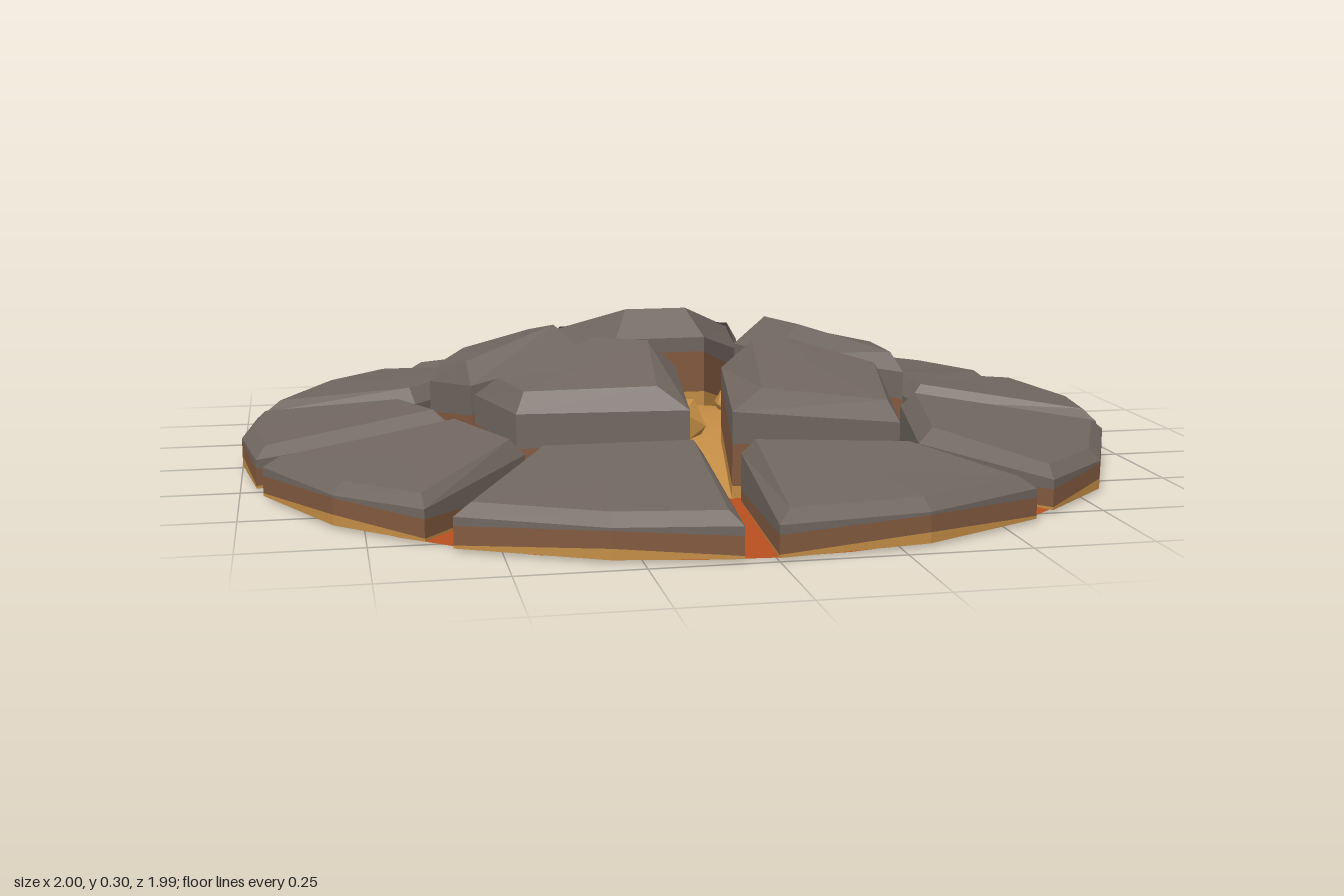
import * as THREE from 'three';

const mat = (name, color, side = THREE.FrontSide) => {
  const m = new THREE.MeshStandardMaterial({ color, side });
  m.name = name;
  return m;
};

// Move every edge of a polygon inward by its own distance and intersect neighbours
function inset(pts, dist) {
  const n = pts.length;
  const lines = pts.map((a, i) => {
    const b = pts[(i + 1) % n];
    const dx = b[0] - a[0], dz = b[1] - a[1], l = Math.hypot(dx, dz);
    const nx = -dz / l, nz = dx / l;
    return [nx, nz, a[0] * nx + a[1] * nz + dist(a, b)];
  });
  return pts.map((_, i) => {
    const [a, b, c] = lines[(i + n - 1) % n], [d, e, f] = lines[i];
    const det = a * e - b * d;
    return [(c * e - b * f) / det, (a * f - c * d) / det];
  });
}

// Bevelled rock slab: heated bands low on the wall, cool rock above
function stone(name, outline, o, materials) {
  let area = 0;
  outline.forEach((a, i) => {
    const b = outline[(i + 1) % outline.length];
    area += a[0] * b[1] - b[0] * a[1];
  });
  const pts = area > 0 ? outline : outline.slice().reverse();
  const n = pts.length;
  const radius = (p) => Math.hypot(p[0], p[1]);
  const near = (p) => radius(p) < o.split;
  const top = inset(pts, (a, b) =>
    radius([(a[0] + b[0]) / 2, (a[1] + b[1]) / 2]) < o.split ? o.bevelIn : o.bevelOut);
  const levels = [[], [], [], [], []];
  pts.forEach((p, i) => {
    const inner = near(p);
    const middle = !inner && !near(pts[(i + 1) % n]) && !near(pts[(i + n - 1) % n]);
    const [base, gold, brown] = inner ? o.inner : middle ? o.middle : o.outer;
    const t = top[i], yTop = o.top(radius(t));
    [base, gold, brown, yTop - (inner ? o.dropIn : o.dropOut)].forEach((y, k) =>
      levels[k].push([p[0], y, p[1]]));
    levels[4].push([t[0], yTop, t[1]]);
  });
  const buckets = [[], [], []]; // gold, brown, rock
  const quad = (k, lo, hi, i) => {
    const j = (i + 1) % n;
    buckets[k].push(...lo[i], ...hi[i], ...lo[j], ...lo[j], ...hi[i], ...hi[j]);
  };
  const fan = (k, ring, up) => {
    const c = [0, 1, 2].map((a) => ring.reduce((s, p) => s + p[a], 0) / n);
    ring.forEach((a, i) => {
      const b = ring[(i + 1) % n];
      buckets[k].push(...c, ...(up ? b : a), ...(up ? a : b));
    });
  };
  for (let i = 0; i < n; i++) {
    [0, 1, 2, 2].forEach((k, l) => quad(k, levels[l], levels[l + 1], i));
  }
  fan(2, levels[4], true);
  if (o.closed) fan(0, levels[0], false);
  const geo = new THREE.BufferGeometry();
  geo.setAttribute('position', new THREE.Float32BufferAttribute(buckets.flat(), 3));
  let start = 0;
  buckets.forEach((b, k) => {
    geo.addGroup(start, b.length / 3, k);
    start += b.length / 3;
  });
  geo.computeVertexNormals();
  const mesh = new THREE.Mesh(geo, materials);
  mesh.name = name;
  return mesh;
}

export function createModel() {
  const group = new THREE.Group();
  const rock = mat('coolRock', 0x70665f);
  const brown = mat('warmRock', 0x82593f);
  const gold = mat('glowingGold', 0xc48d45, THREE.DoubleSide);
  const orange = mat('lavaOrange', 0xb84f20, THREE.DoubleSide);
  const stoneMats = [gold, brown, rock];
  const add = (name, geo, m, x = 0, y = 0, z = 0) => {
    const mesh = new THREE.Mesh(geo, m);
    mesh.name = name;
    mesh.position.set(x, y, z);
    group.add(mesh);
    return mesh;
  };

  // Lava ring underneath the slabs
  add('lavaRing', new THREE.RingGeometry(0.5, 0.97, 40).rotateX(-Math.PI / 2), orange);

  // Gently domed molten centre
  const profile = [[0.51, 0.002], [0.42, 0.02], [0.3, 0.05], [0.15, 0.08], [0, 0.09]];
  add('moltenCentre', new THREE.LatheGeometry(
    profile.map(([r, y]) => new THREE.Vector2(r, y)), 32), gold);

  // Bubbles
  [[-0.14, -0.1, 0.055], [0.145, -0.065, 0.04], [-0.025, 0.16, 0.066]].forEach(([x, z, r]) => {
    const geo = new THREE.IcosahedronGeometry(r, 0);
    geo.computeVertexNormals();
    add('bubble', geo, gold, x, 0.095, z);
  });

  // Outer slabs, sloping down to the rim
  const outerStyle = {
    split: 0.75, bevelIn: 0.03, bevelOut: 0.025, dropIn: 0.035, dropOut: 0.025, closed: true,
    inner: [0.006, 0.007, 0.03], middle: [0.006, 0.028, 0.062], outer: [0.006, 0.012, 0.05],
    top: (r) => 0.148 - 0.13 * (r - 0.55),
  };
  [
    [[0, -0.995], [0, -0.61], [-0.3, -0.47], [-0.585, -0.81], [-0.31, -0.95]],
    [[0.075, -0.99], [0.07, -0.62], [0.31, -0.45], [0.57, -0.82], [0.31, -0.95]],
    [[0.63, -0.76], [0.38, -0.41], [0.55, -0.2], [0.91, -0.37], [0.81, -0.59]],
    [[0.95, -0.3], [0.57, -0.18], [0.56, 0.05], [0.97, 0.2], [1, 0]],
    [[0.95, 0.28], [0.51, 0.13], [0.44, 0.48], [0.64, 0.75], [0.81, 0.59]],
    [[0.58, 0.81], [0.39, 0.56], [0.03, 0.55], [0, 0.995], [0.31, 0.95]],
    [[-0.065, 0.99], [-0.05, 0.54], [-0.39, 0.49], [-0.59, 0.81], [-0.31, 0.95]],
    [[-0.64, 0.75], [-0.41, 0.45], [-0.52, 0.21], [-0.95, 0.31], [-0.81, 0.59]],
    [[-0.965, 0.24], [-0.54, 0.14], [-0.62, -0.07], [-0.97, -0.22], [-1, 0]],
    [[-0.95, -0.3], [-0.6, -0.16], [-0.36, -0.42], [-0.65, -0.75], [-0.81, -0.59]],
  ].forEach((p) => group.add(stone('outerSlab', p, outerStyle, stoneMats)));

  // Taller inner rocks around the molten centre
  const innerStyle = {
    split: 0.38, bevelIn: 0.065, bevelOut: 0.025, dropIn: 0.065, dropOut: 0.045, closed: false,
    inner: [0.035, 0.1, 0.2], middle: [0.003, 0.01, 0.1], outer: [0.003, 0.03, 0.12],
    top: (r) => 0.3 - 0.31 * Math.max(0, r - 0.28),
  };
  [
    [[-0.24, -0.46], [0.03, -0.58], [0.25, -0.46], [0.24, -0.4], [0.11, -0.2], [-0.11, -0.2], [-0.24, -0.4]],
    [[0.35, -0.38], [0.47, -0.3], [0.535, -0.12], [0.525, 0.1], [0.22, 0.06], [0.16, -0.09]],
    [[0.02, 0.51], [0.06, 0.22], [0.21, 0.14], [0.44, 0.2], [0.385, 0.515]],
    [[-0.49, 0.19], [-0.21, 0.09], [-0.04, 0.19], [-0.07, 0.505], [-0.42, 0.38]],
    [[-0.35, -0.4], [-0.24, -0.27], [-0.21, -0.02], [-0.49, 0.1], [-0.57, -0.07], [-0.5, -0.24]],
  ].forEach((p) => group.add(stone('innerRock', p, innerStyle, stoneMats)));

  return group;
}
